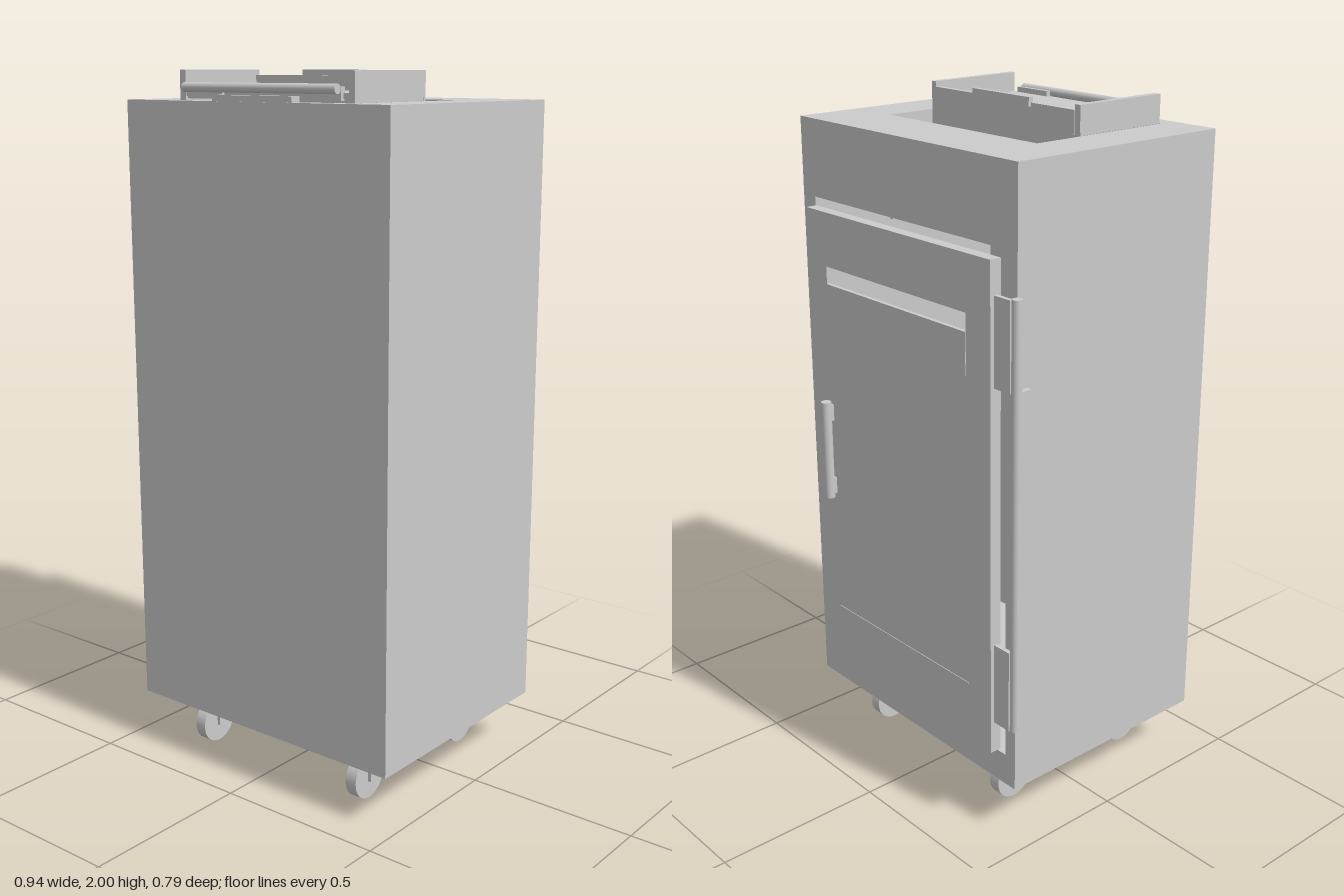
import * as THREE from 'three';

const material = new THREE.MeshStandardMaterial({ color: 0xcccccc, side: THREE.DoubleSide });

function add(parent, name, geometry) {
  const mesh = new THREE.Mesh(geometry, material);
  mesh.name = name;
  parent.add(mesh);
  return mesh;
}

// Box given by its limits on each axis
function block(parent, name, x0, x1, y0, y1, z0, z1) {
  const mesh = add(parent, name, new THREE.BoxGeometry(x1 - x0, y1 - y0, z1 - z0));
  mesh.position.set((x0 + x1) / 2, (y0 + y1) / 2, (z0 + z1) / 2);
  return mesh;
}

function rod(parent, name, axis, radius, length, x, y, z) {
  const geometry = new THREE.CylinderGeometry(radius, radius, length, 28);
  if (axis === 'x') geometry.rotateZ(Math.PI / 2);
  const mesh = add(parent, name, geometry);
  mesh.position.set(x, y, z);
  return mesh;
}

// Flat sheet with a rectangular hole; rectangles are [x0, x1, y0, y1]
function sheet([x0, x1, y0, y1], [a0, a1, b0, b1], depth) {
  const shape = new THREE.Shape();
  shape.moveTo(x0, y0).lineTo(x1, y0).lineTo(x1, y1).lineTo(x0, y1).closePath();
  const hole = new THREE.Path();
  hole.moveTo(a0, b0).lineTo(a0, b1).lineTo(a1, b1).lineTo(a1, b0).closePath();
  shape.holes.push(hole);
  return new THREE.ExtrudeGeometry(shape, { depth, bevelEnabled: false });
}

function group(parent, name) {
  const g = new THREE.Group();
  g.name = name;
  parent.add(g);
  return g;
}

function buildCabinet(model) {
  const g = group(model, 'cabinet');
  const t = 0.025;
  block(g, 'frontPanel', -0.44, 0.47, 0.155, 1.92, 0.395 - t, 0.395);
  block(g, 'rightPanel', -0.44, -0.44 + t, 0.155, 1.92, -0.315, 0.395);
  block(g, 'leftPanel', 0.47 - t, 0.47, 0.155, 1.92, -0.315, 0.395);
  block(g, 'bottomPanel', -0.44, 0.47, 0.155, 0.155 + t, -0.315, 0.395);
  const back = add(g, 'backFrame', sheet([-0.44, 0.47, 0.155, 1.92], [-0.4, 0.415, 0.25, 1.7], t));
  back.position.z = -0.315;
  // Shape y becomes -z once laid flat
  const top = add(g, 'topPanel', sheet([-0.44, 0.47, -0.395, 0.315], [-0.29, 0.32, -0.34, 0.115], t));
  top.rotation.x = -Math.PI / 2;
  top.position.y = 1.92 - t;
  // Chute below the feed opening
  block(g, 'chuteFront', -0.29, 0.32, 1.62, 1.93, 0.04, 0.05);
  for (const x of [-0.3, 0.32]) block(g, 'chuteSide', x, x + 0.01, 1.62, 1.9, -0.115, 0.05);
}

function buildTray(model) {
  const g = group(model, 'feedTray');
  block(g, 'trayFloor', -0.265, 0.3, 1.93, 1.945, 0.04, 0.34);
  block(g, 'trayBack', -0.265, 0.3, 1.92, 1.985, 0.038, 0.055);
  block(g, 'trayGrip', -0.1, 0.13, 1.975, 2, 0.03, 0.045);
  block(g, 'traySide', -0.288, -0.267, 1.92, 2, 0.038, 0.34);
  block(g, 'traySide', 0.3, 0.318, 1.92, 2, 0.038, 0.34);
  // Long hinge along the front edge
  rod(g, 'trayHingePin', 'x', 0.013, 0.53, 0.015, 1.955, 0.361);
  for (const x of [-0.25, 0.155]) {
    block(g, 'trayHingeLeaf', x, x + 0.127, 1.925, 1.96, 0.335, 0.35);
  }
  block(g, 'fixedHingeLeaf', -0.12, 0.155, 1.92, 1.936, 0.36, 0.392);
}

function buildDoor(model) {
  const g = group(model, 'backDoor');
  const panel = add(g, 'doorPanel', sheet([-0.39, 0.395, 0.27, 1.68], [-0.295, 0.31, 1.36, 1.525], 0.035));
  panel.position.z = -0.36;
  // Flap leaving a narrow slot above it
  block(g, 'slotFlap', -0.295, 0.31, 1.355, 1.475, -0.362, -0.35);
  block(g, 'lowerLedge', -0.295, 0.31, 0.45, 0.455, -0.362, -0.35);

  // Pull handle
  rod(g, 'doorHandle', 'y', 0.015, 0.3, 0.312, 0.975, -0.38);
  for (const y of [0.86, 1.09]) block(g, 'handleMount', 0.303, 0.321, y - 0.025, y + 0.025, -0.378, -0.358);

  // Hinge: two leaves on the door, one on the cabinet side
  const hinge = group(model, 'doorHinge');
  rod(hinge, 'hingePin', 'y', 0.014, 1.225, -0.459, 0.978, -0.333);
  for (const y of [0.365, 1.345]) block(hinge, 'doorLeaf', -0.45, -0.388, y, y + 0.243, -0.348, -0.335);
  block(hinge, 'cabinetLeaf', -0.457, -0.44, 0.605, 1.345, -0.318, -0.28);
}

function buildCaster(model, x, z) {
  const g = group(model, 'caster');
  g.position.set(x, 0, z);
  rod(g, 'wheel', 'x', 0.063, 0.036, 0, 0.063, 0);
  rod(g, 'axle', 'x', 0.009, 0.085, 0, 0.085, 0);
  block(g, 'mountPlate', -0.06, 0.06, 0.147, 0.156, -0.055, 0.055);
  rod(g, 'swivel', 'y', 0.026, 0.026, 0, 0.136, 0);
  block(g, 'forkCrown', -0.032, 0.032, 0.115, 0.126, -0.018, 0.018);
  for (const s of [-1, 1]) {
    const leg = block(g, 'forkLeg', -0.005, 0.005, 0.055, 0.122, -0.012, 0.012);
    leg.position.x = s * 0.028;
  }
}

export function createModel() {
  const model = new THREE.Group();
  model.name = 'wheeledCabinet';
  buildCabinet(model);
  buildTray(model);
  buildDoor(model);
  for (const x of [-0.277, 0.303]) for (const z of [0.27, -0.185]) buildCaster(model, x, z);
  return model;
}
